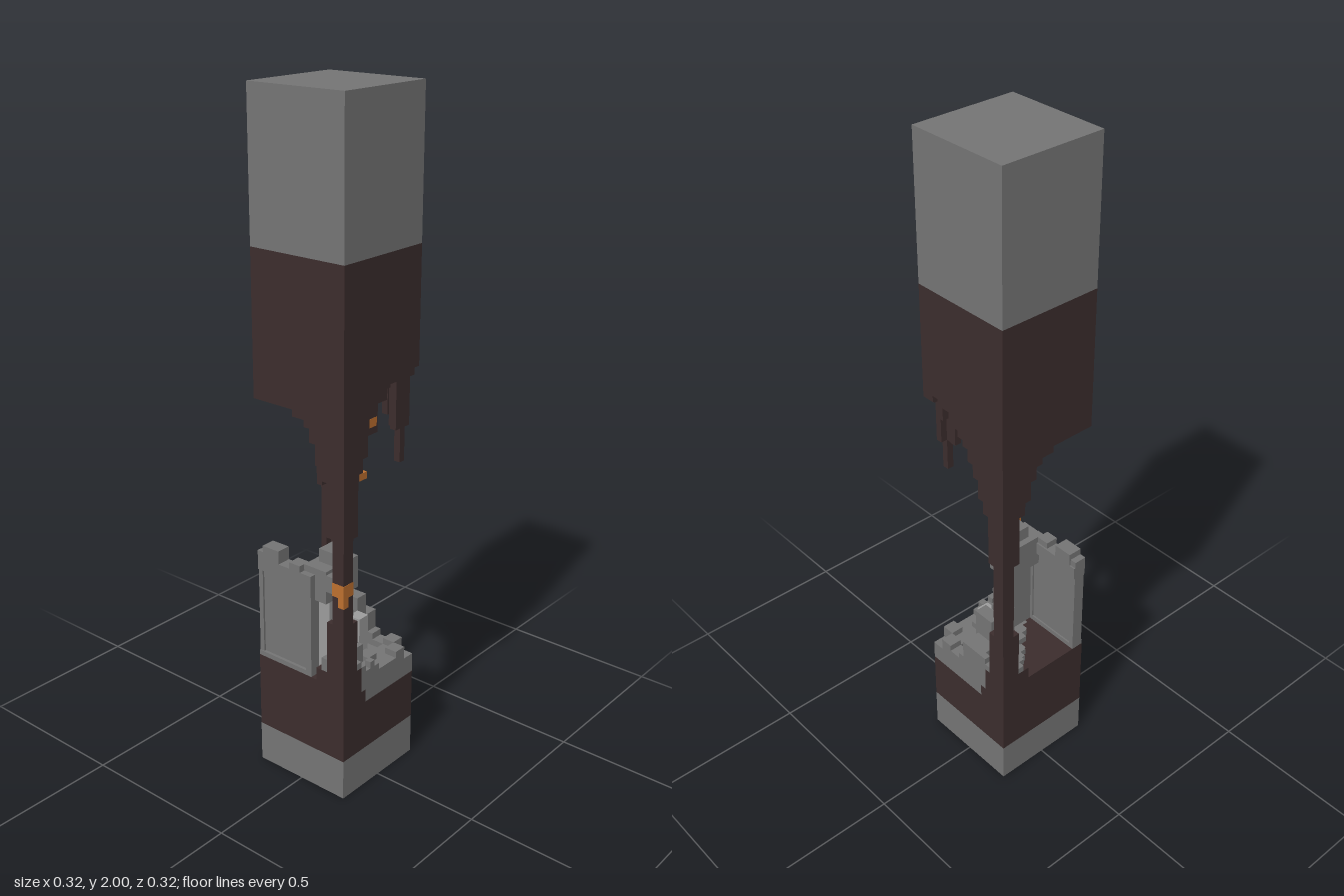
import * as THREE from 'three';
import { mergeGeometries } from 'three/addons/utils/BufferGeometryUtils.js';

const mat = (name, color) => new THREE.MeshStandardMaterial({ name, color });

// Box from min and max corners
function block(x0, x1, y0, y1, z0, z1) {
  return new THREE.BoxGeometry(x1 - x0, y1 - y0, z1 - z0)
    .translate((x0 + x1) / 2, (y0 + y1) / 2, (z0 + z1) / 2);
}

// Linear interpolation through [position, value] points
function along(points, t) {
  for (let i = 1; i < points.length; i++) {
    const [a, p] = points[i - 1], [b, q] = points[i];
    if (t <= b) return p + (q - p) * Math.max(0, (t - a) / (b - a));
  }
  return points[points.length - 1][1];
}

const hash = (i, k) => {
  const n = Math.sin(i * 12.9898 + k * 78.233) * 43758.5453;
  return n - Math.floor(n);
};
const snap = (v) => Math.round(v * 50) / 50;

export function createModel() {
  const model = new THREE.Group();
  const stone = mat('stone grey', 0x757575);
  const pale = mat('pale stone', 0x9c9c9c);
  const earth = mat('dark earth', 0x3c2d2d);
  const ember = mat('ember orange', 0xbd702f);

  const add = (name, material, boxes) => {
    const mesh = new THREE.Mesh(mergeGeometries(boxes.map((b) => block(...b))), material);
    mesh.name = name;
    model.add(mesh);
  };

  const R = 0.16, S = 0.02, N = 16, LOW = 0.28, HIGH = 1.26;

  // Solid ends and slabs
  add('bottomCap', stone, [[-R, R, 0, 0.125, -R, R]]);
  add('topCap', stone, [[-R, R, 1.58, 2, -R, R]]);
  add('lowerEarth', earth, [[-R, R, 0.125, LOW, -R, R]]);
  add('upperEarth', earth, [[-R, R, HIGH, 1.58, -R, R]]);

  // Diagonal cave tunnel between two corner pillars, as floor and ceiling columns
  const roof = [[0, 1.2], [0.12, 1.18], [0.16, 1.15], [0.2, 1.08], [0.24, 0.97], [0.26, 0.82], [0.28, 0.66]];
  const rise = [[0, 0], [0.21, 0], [0.24, 0.12], [0.26, 0.26], [0.28, 0.38]];
  const columns = [], rubble = [];
  for (let i = 0; i < N; i++) {
    for (let k = 0; k < N; k++) {
      const x0 = -R + i * S, z0 = -R + k * S;
      const x = x0 + S / 2, z = z0 + S / 2;
      const u = Math.abs(x + z), v = (x - z) / 0.3;
      const inner = i > 0 && k < N - 1;
      const jitter = inner && u < 0.25 ? (hash(i, k) - 0.5) * 0.05 : 0;
      let ceiling = snap(along(roof, u) + (u < 0.17 ? 0.04 * v : 0) + jitter);
      const ground = v > -0.25 ? LOW : 0.36;
      const floor = snap(ground + along(rise, u) * (1 + (0.36 - ground)));
      // Hanging teeth near the open back corner
      const tooth = Math.abs(x - 0.15) + Math.abs(z + 0.09);
      if (tooth < 0.005) ceiling = 0.98;
      else if (tooth < 0.025) ceiling = 1.08;
      if (i === 12 && k === 2) ceiling = 1.1;

      if (u > 0.27 || ceiling <= floor) {
        columns.push([x0, x0 + S, LOW, HIGH, z0, z0 + S]);
        continue;
      }
      if (floor > LOW) columns.push([x0, x0 + S, LOW, floor, z0, z0 + S]);
      columns.push([x0, x0 + S, ceiling, HIGH, z0, z0 + S]);
      // Broken paving over the low half of the cave floor
      if (v > -0.25 && u < 0.25) {
        const bump = hash(i >> 1, (k >> 1) + 7);
        const top = snap(0.34 + bump * 0.05 + (u > 0.14 ? (u - 0.14) * 0.7 : 0));
        if (top > floor) rubble.push([x0, x0 + S, floor, top, z0, z0 + S]);
      }
    }
  }
  add('caveEarth', earth, columns);
  add('brokenPaving', stone, rubble);

  // Front ruin wall with frame, corner post and cornice
  add('ruinWall', stone, [
    [-0.155, 0.03, 0.36, 0.66, 0.125, 0.15],
    [-0.16, 0.04, 0.36, 0.375, 0.12, 0.159],
    [0.02, 0.04, 0.36, 0.66, 0.12, 0.159],
    [-0.16, -0.145, 0.36, 0.66, 0.12, 0.156],
    [-0.16, 0.04, 0.64, 0.68, 0.115, 0.159],
  ]);
  add('battlements', stone, [
    [-0.16, -0.14, 0.68, 0.7, 0.12, 0.159],
    [-0.14, -0.08, 0.68, 0.72, 0.115, 0.159],
    [-0.04, 0, 0.68, 0.7, 0.12, 0.159],
  ]);

  // Side turret joined to the wall
  add('turret', stone, [
    [0.03, 0.06, 0.34, 0.66, 0.02, 0.12],
    [0, 0.08, 0.6, 0.7, 0.0, 0.14],
    [0.02, 0.08, 0.7, 0.74, 0.04, 0.1],
    [0.08, 0.12, 0.64, 0.69, 0.08, 0.14],
    [0.02, 0.06, 0.34, 0.52, 0, 0.02],
  ]);
  add('paleTurretPosts', pale, [
    [0.04, 0.08, 0.36, 0.6, 0.09, 0.125],
    [0.03, 0.07, 0.34, 0.48, -0.06, -0.02],
  ]);

  // Fallen blocks behind the turret
  add('fallenBlocks', stone, [
    [-0.02, 0.04, 0.34, 0.5, -0.03, 0.01],
    [-0.04, 0.03, 0.34, 0.52, -0.1, -0.06],
    [-0.06, 0.02, 0.34, 0.44, -0.16, -0.1],
    [0.06, 0.1, 0.34, 0.42, 0.0, 0.05],
  ]);

  // Glowing ore set in the front pillar
  add('pillarEmber', ember, [
    [0.12, 0.161, 0.65, 0.69, 0.12, 0.161],
    [0.14, 0.161, 0.62, 0.65, 0.14, 0.161],
  ]);
  add('smallEmbers', ember, [
    [0.13, 0.161, 1.12, 1.145, 0.025, 0.055],
    [0.13, 0.161, 0.98, 1.0, 0.065, 0.095],
  ]);
  return model;
}
